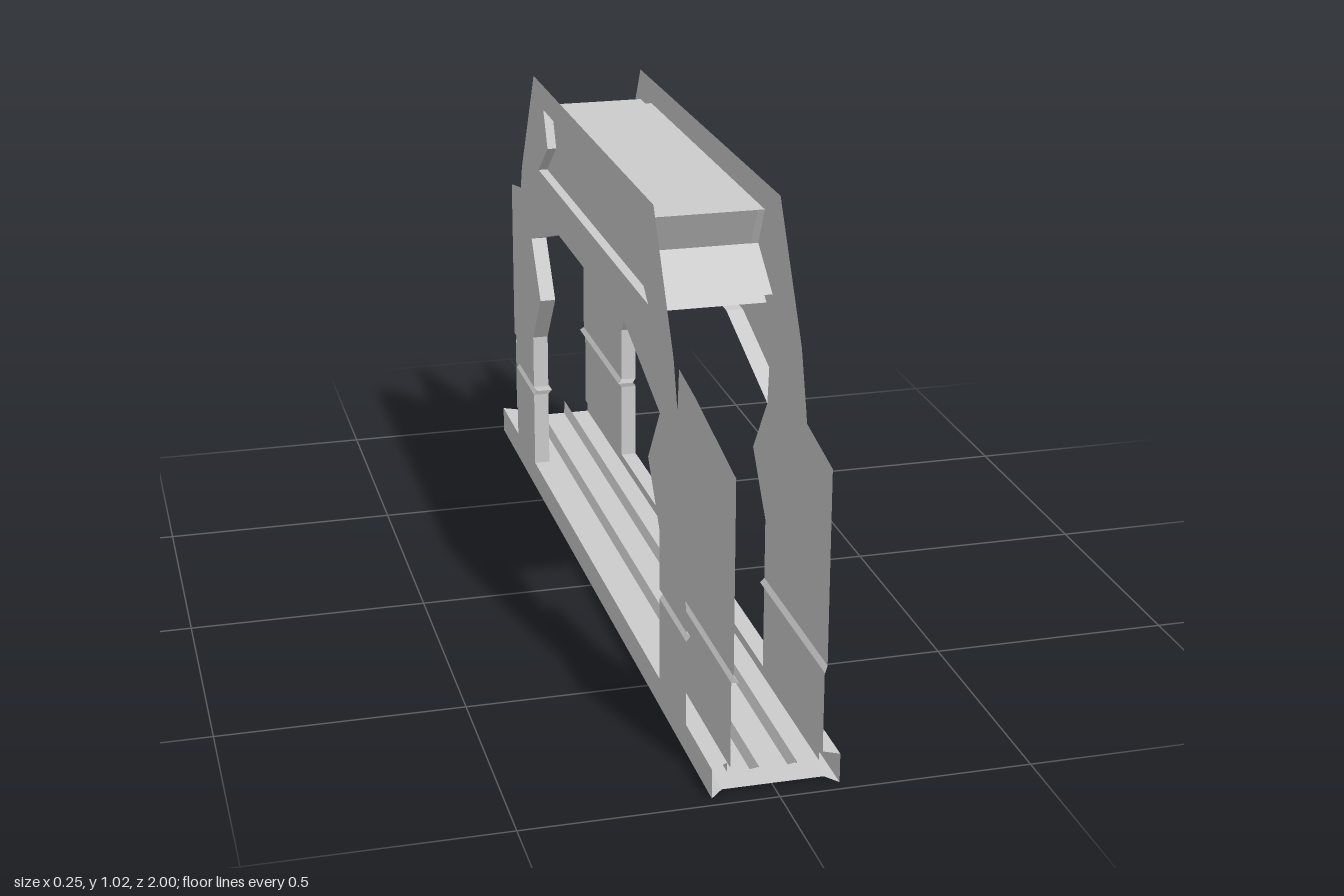
import * as THREE from 'three';

const material = new THREE.MeshStandardMaterial({ color: 0xcccccc, side: THREE.DoubleSide, flatShading: true });
const OUT = 0.125, IN = 0.09, BEAM = 0.105, GROOVE = 0.008;

// mirrors a half outline of [z, y] points to the other end
const mirrored = half => [...half, ...half.map(([z, y]) => [-z, y]).reverse()];
const toVectors = pts => pts.map(([z, y]) => new THREE.Vector2(z, y));

// flat sheet in the plane x, from [z, y] outlines
function sheet(x, outline, ...holes) {
  const shape = new THREE.Shape(toVectors(outline));
  holes.forEach(h => shape.holes.push(new THREE.Path(toVectors(h))));
  const g = new THREE.ShapeGeometry(shape);
  g.rotateY(-Math.PI / 2);
  g.translate(x, 0, 0);
  return g;
}

// strip of quads between two matching rows of [x, y, z] points
function ribbon(a, b) {
  const pos = [];
  for (let i = 0; i < a.length - 1; i++) {
    pos.push(...a[i], ...b[i], ...b[i + 1], ...a[i], ...b[i + 1], ...a[i + 1]);
  }
  const g = new THREE.BufferGeometry();
  g.setAttribute('position', new THREE.Float32BufferAttribute(pos, 3));
  g.computeVertexNormals();
  return g;
}

export function createModel() {
  const model = new THREE.Group();
  const add = (name, geometry, parent = model) => {
    const mesh = new THREE.Mesh(geometry, material);
    mesh.name = name;
    parent.add(mesh);
  };

  const opening = [[0.59, 0.255], [0.59, 0.38], [0.5, 0.5], [0.59, 0.625], [0.3, 0.72]];
  const outerEdge = [[0.79, 0.255], [0.78, 0.36], [0.757, 0.52], [0.727, 0.65], [0.69, 0.77], [0.54, 1.025]];
  const windowLoop = mirrored([[0.5, 0.815], [0.4, 0.89], [0.44, 0.97]]);

  for (const s of [1, -1]) {
    const side = new THREE.Group();
    side.name = s > 0 ? 'leftSide' : 'rightSide';
    model.add(side);

    // outer arch sheet with a recessed window
    const arch = [...mirrored(outerEdge), ...mirrored(opening).reverse()];
    add('arch', sheet(s * OUT, arch, windowLoop), side);
    const closed = [...windowLoop, windowLoop[0]];
    add('windowReveal', ribbon(
      closed.map(([z, y]) => [s * OUT, y, z]),
      closed.map(([z, y]) => [s * BEAM, y, z])), side);

    // long base rail
    add('baseRail', sheet(s * OUT, [[-0.975, 0], [0.975, 0], [0.975, 0.06], [-0.975, 0.06]]), side);

    // lining of the arch opening, following the belt groove
    const lining = mirrored([[0.59, 0.06], [0.59, 0.235], [0.587, 0.245], ...opening]);
    const shift = y => (y === 0.245 ? GROOVE : 0);
    add('openingLining', ribbon(
      lining.map(([z, y]) => [s * (OUT - shift(y)), y, z]),
      lining.map(([z, y]) => [s * (IN - shift(y)), y, z])), side);

    for (const e of [1, -1]) {
      const flip = pts => pts.map(([z, y]) => [e * z, y]);
      // pier below the arch and the wing behind it
      add('pier', sheet(s * OUT, flip([[0.59, 0.06], [0.79, 0.06], [0.79, 0.235], [0.59, 0.235]])), side);
      add('lowerWing', sheet(s * IN, flip([[0.59, 0.06], [0.975, 0.06], [0.975, 0.235], [0.59, 0.235]])), side);
      add('upperWing', sheet(s * IN, flip([[0.59, 0.255], [0.99, 0.255], [0.99, 0.645], [0.71, 0.7],
        [0.6, 0.715], [0.59, 0.625], [0.5, 0.5], [0.59, 0.38]])), side);
      // V-shaped belt grooves
      for (const [name, x, far] of [['pierGroove', OUT, [0.79, 0.79, 0.79]], ['wingGroove', IN, [0.975, 1, 0.99]]]) {
        const rows = [[x, 0.235], [x - GROOVE, 0.245], [x, 0.255]];
        add(name, ribbon(
          rows.map(([px, y]) => [s * px, y, e * 0.59]),
          rows.map(([px, y], i) => [s * px, y, e * far[i]])), side);
      }
    }
  }

  // cross beam with notched ends
  const beam = new THREE.ExtrudeGeometry(
    new THREE.Shape(toVectors(mirrored([[0.525, 0.808], [0.415, 0.895], [0.46, 0.976]]))),
    { depth: 2 * BEAM, bevelEnabled: false });
  beam.rotateY(-Math.PI / 2);
  beam.translate(BEAM, 0, 0);
  add('topBeam', beam);

  // ribbed floor: x, y and half length of each fold
  const folds = [[-OUT, 0.06, 0.975], [-IN, 0.06, 0.955], [-IN, 0.04, 0.955]];
  for (const x of [-0.037, 0.037]) {
    folds.push([x - 0.009, 0.04, 0.955], [x, 0.06, 0.985], [x + 0.009, 0.04, 0.955]);
  }
  folds.push([IN, 0.04, 0.955], [IN, 0.06, 0.955], [OUT, 0.06, 0.975]);
  add('ribbedFloor', ribbon(folds.map(([x, y, l]) => [x, y, l]), folds.map(([x, y, l]) => [x, y, -l])));

  // flat underside
  add('underside', ribbon(
    [[-OUT, 0, 0.975], [-0.1, 0.005, 0.955], [0.1, 0.005, 0.955], [OUT, 0, 0.975]],
    [[-OUT, 0, -0.975], [-0.1, 0.005, -0.955], [0.1, 0.005, -0.955], [OUT, 0, -0.975]]));

  return model;
}
